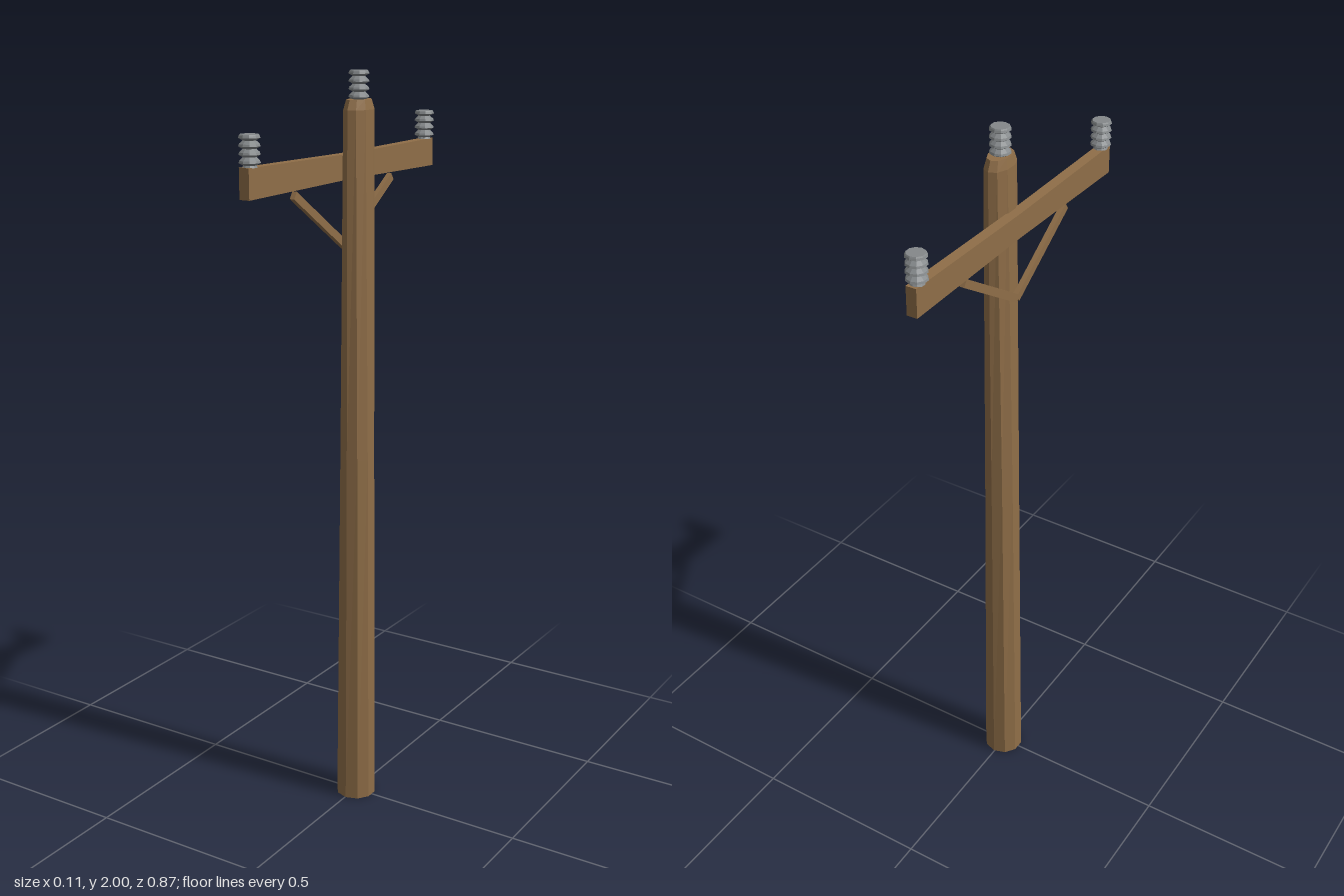
import * as THREE from 'three';

const wood = new THREE.MeshStandardMaterial({ color: 0x8f6e48, flatShading: true });
wood.name = 'wood';
const ceramic = new THREE.MeshStandardMaterial({ color: 0x84888a, flatShading: true });
ceramic.name = 'greyCeramic';

// Ten-sided post: flattens in x towards the top, with a bevelled crown
function makePole() {
  // y, x offset, half width x, half width z
  const rings = [
    [0, 0.002, 0.055, 0.055],
    [1.0, 0.006, 0.045, 0.053],
    [1.905, 0.01, 0.032, 0.054],
    [1.93, 0.01, 0.027, 0.043],
  ];
  const geo = new THREE.CylinderGeometry(1, 1, 3, 10, 3);
  const p = geo.attributes.position;
  for (let i = 0; i < p.count; i++) {
    const [y, cx, rx, rz] = rings[Math.round(p.getY(i) + 1.5)];
    p.setXYZ(i, cx + p.getX(i) * rx, y, p.getZ(i) * rz);
  }
  geo.computeVertexNormals();
  const pole = new THREE.Mesh(geo, wood);
  pole.name = 'pole';
  return pole;
}

// Crossarm, slightly thinner in the middle than at its ends
function makeCrossarm() {
  const geo = new THREE.BoxGeometry(0.028, 0.074, 0.864, 1, 1, 2);
  const p = geo.attributes.position;
  for (let i = 0; i < p.count; i++) {
    if (Math.abs(p.getZ(i)) < 0.01) p.setY(i, p.getY(i) * 0.86);
  }
  geo.computeVertexNormals();
  const arm = new THREE.Mesh(geo, wood);
  arm.name = 'crossarm';
  arm.position.set(-0.033, 1.762, 0);
  return arm;
}

// Diagonal strut from the pole up to the underside of the crossarm
function makeBrace(side) {
  const a = new THREE.Vector3(-0.034, 1.562, 0);
  const b = new THREE.Vector3(-0.034, 1.714, side * 0.23);
  const brace = new THREE.Mesh(new THREE.BoxGeometry(0.013, 0.021, a.distanceTo(b)), wood);
  brace.name = side > 0 ? 'frontBrace' : 'backBrace';
  brace.position.copy(a).add(b).multiplyScalar(0.5);
  brace.lookAt(b);
  return brace;
}

// Insulator: a stack of four flared discs
function makeInsulator(name, x, y, z) {
  const discs = 4, step = 0.019;
  const profile = [new THREE.Vector2(0, 0), new THREE.Vector2(0.019, 0)];
  for (let i = 0; i < discs; i++) {
    const y0 = i * step;
    profile.push(
      new THREE.Vector2(0.016, y0 + 0.005),
      new THREE.Vector2(0.027, y0 + 0.011),
      new THREE.Vector2(0.025, y0 + 0.016)
    );
  }
  profile.push(new THREE.Vector2(0.023, 0.076), new THREE.Vector2(0, 0.076));
  const mesh = new THREE.Mesh(new THREE.LatheGeometry(profile, 10), ceramic);
  mesh.name = name;
  mesh.position.set(x, y, z);
  return mesh;
}

export function createModel() {
  const group = new THREE.Group();
  group.name = 'utilityPole';
  group.add(makePole(), makeCrossarm());
  for (const side of [1, -1]) {
    group.add(makeBrace(side));
    group.add(makeInsulator(side > 0 ? 'frontInsulator' : 'backInsulator', -0.033, 1.798, side * 0.408));
  }
  group.add(makeInsulator('topInsulator', 0.01, 1.924, 0));
  return group;
}
